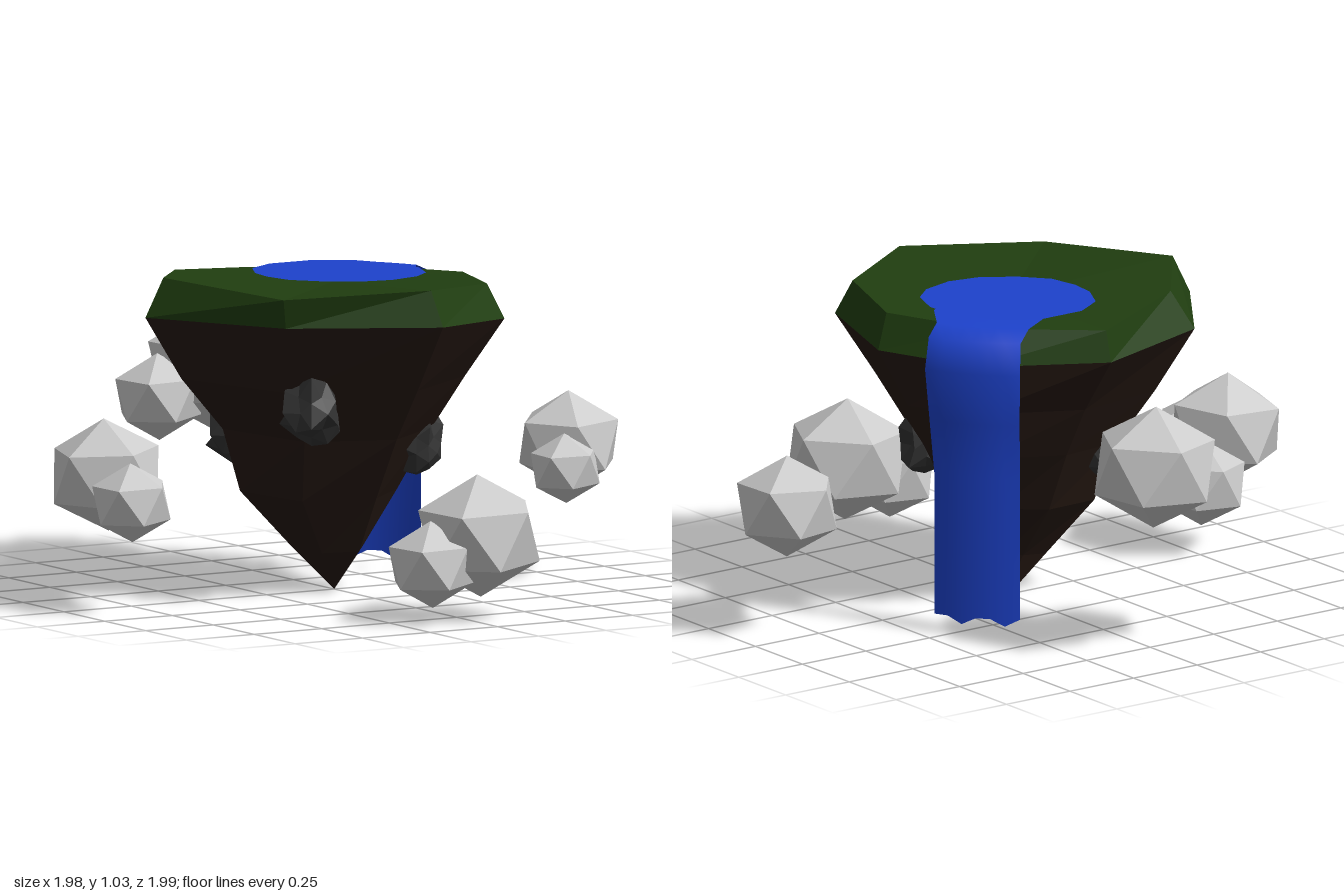
import * as THREE from 'three';

const mat = (color, extra = {}) =>
  new THREE.MeshStandardMaterial({ color, flatShading: true, ...extra });

function add(parent, name, geometry, material) {
  const mesh = new THREE.Mesh(geometry, material);
  mesh.name = name;
  parent.add(mesh);
  return mesh;
}

// Skin between closed rings of points, listed from top to bottom
function loft(rings) {
  const pos = [];
  for (let i = 0; i < rings.length - 1; i++) {
    const n = rings[i].length;
    for (let k = 0; k < n; k++) {
      const a = rings[i][k], b = rings[i][(k + 1) % n];
      const c = rings[i + 1][(k + 1) % n], d = rings[i + 1][k];
      if (a !== b) pos.push(...a, ...b, ...c);
      if (c !== d) pos.push(...a, ...c, ...d);
    }
  }
  const g = new THREE.BufferGeometry();
  g.setAttribute('position', new THREE.Float32BufferAttribute(pos, 3));
  g.computeVertexNormals();
  return g;
}

// Island rim and the edge of its top surface
const rim = [
  [-0.03, 0.875, -0.5], [0.33, 0.87, -0.28], [0.48, 0.875, 0.05], [0.37, 0.89, 0.43],
  [0.04, 0.905, 0.6], [-0.4, 0.905, 0.365], [-0.65, 0.905, -0.08], [-0.44, 0.89, -0.39],
];
const topEdge = [
  [-0.03, 0.975, -0.475], [0.29, 0.983, -0.25], [0.44, 0.99, 0.06], [0.33, 1.0, 0.39],
  [0.02, 1.02, 0.56], [-0.42, 1.0, 0.385], [-0.59, 1.03, -0.07], [-0.39, 1.01, -0.33],
];

// Rim outline squeezed to the given extents at height y; the corner under the fall bulges
const rockRing = (y, xMin, xMax, zMin, zMax, bulge = 1) => rim.map(([x, , z], k) => {
  const s = k === 1 ? bulge : 1;
  return [
    s * x * (x < 0 ? xMin / -0.65 : xMax / 0.48),
    y + 0.015 * Math.sin(k * 2.4),
    s * z * (z < 0 ? zMin / -0.5 : zMax / 0.6),
  ];
});

// Icosahedron with one corner pointing up
const upright = (r) =>
  new THREE.IcosahedronGeometry(r, 0).rotateX(-Math.atan((1 + Math.sqrt(5)) / 2));

// Rugged stone: a sphere-like solid whose corners move by a direction-based rule
function stoneGeometry(seed) {
  const g = new THREE.IcosahedronGeometry(1, 1);
  const p = g.attributes.position, v = new THREE.Vector3();
  for (let i = 0; i < p.count; i++) {
    v.fromBufferAttribute(p, i);
    const s = 0.85 + 0.22 * Math.sin(v.x * 5 + seed) * Math.cos(v.y * 6 - seed)
      + 0.15 * Math.sin(v.z * 7 + v.y * 3 + seed * 2);
    p.setXYZ(i, v.x * s, v.y * s, v.z * s);
  }
  g.computeVertexNormals();
  return g;
}

// Stream and waterfall: rows of [centre x, y, centre z, half width]
function fallGeometry() {
  const rows = [
    [0.15, 1.0, -0.13, 0.18], [0.21, 1.0, -0.175, 0.18], [0.29, 0.993, -0.25, 0.15],
    [0.357, 0.968, -0.298, 0.15], [0.382, 0.87, -0.32, 0.155],
    [0.368, 0.7, -0.312, 0.147], [0.353, 0.52, -0.306, 0.14], [0.353, 0.05, -0.306, 0.14],
  ];
  const cols = 6, pos = [], index = [];
  rows.forEach(([cx, y, cz, w], i) => {
    for (let k = 0; k <= cols; k++) {
      const s = (k / cols) * 2 - 1;
      const bulge = i > 1 ? 0.02 * (1 - s * s) : 0;
      const jag = i === rows.length - 1 ? (k % 3 === 1 ? -0.015 : 0.008) : 0;
      pos.push(cx + 0.63 * w * s + 0.78 * bulge, y + jag, cz + 0.78 * w * s - 0.63 * bulge);
      if (i && k) {
        const d = i * (cols + 1) + k, c = d - 1, b = d - cols - 1, a = b - 1;
        index.push(a, b, c, b, d, c);
      }
    }
  });
  const g = new THREE.BufferGeometry();
  g.setAttribute('position', new THREE.Float32BufferAttribute(pos, 3));
  g.setIndex(index);
  g.computeVertexNormals();
  return g;
}

export function createModel() {
  const model = new THREE.Group();
  model.name = 'floatingIsland';

  const grassMat = mat(0x203e10), rockMat = mat(0x251812), stoneMat = mat(0x333333);
  const cloudMat = mat(0xcccccc);
  const waterMat = mat(0x1d42cc, { side: THREE.DoubleSide, flatShading: false });

  // Grass cap, dipping slightly towards the middle
  const centre = [0, 0.985, 0];
  add(model, 'grassCap', loft([rim.map(() => centre), topEdge, rim]), grassMat);

  // Earth cone tapering to a tip
  const tip = [0, 0, 0];
  add(model, 'earthCone', loft([
    rim,
    rockRing(0.69, -0.53, 0.37, -0.37, 0.46, 1.18),
    rockRing(0.52, -0.385, 0.275, -0.28, 0.345, 1.25),
    rockRing(0.32, -0.33, 0.17, -0.19, 0.235, 1.1),
    rockRing(0.14, -0.16, 0.06, -0.06, 0.145),
    rim.map(() => tip),
  ]), rockMat);

  // Pond
  const pond = [
    [-0.2, -0.08], [-0.19, -0.17], [-0.14, -0.27], [-0.04, -0.33], [0.11, -0.33],
    [0.23, -0.26], [0.31, -0.12], [0.32, -0.01], [0.28, 0.1], [0.21, 0.16], [0.1, 0.19],
    [-0.01, 0.17], [-0.11, 0.1], [-0.18, 0.02],
  ];
  const pondShape = new THREE.Shape(pond.map(([x, z]) => new THREE.Vector2(x, -z)));
  const pondGeometry = new THREE.ShapeGeometry(pondShape).rotateX(-Math.PI / 2);
  add(model, 'pond', pondGeometry, waterMat).position.y = 1.004;

  add(model, 'waterfall', fallGeometry(), waterMat);

  // Stones set into the earth: position, then half sizes
  [
    [-0.265, 0.625, 0.3, 0.1, 0.13, 0.1],
    [0.175, 0.48, 0.215, 0.1, 0.115, 0.1],
    [-0.23, 0.495, -0.185, 0.12, 0.13, 0.11],
  ].forEach(([x, y, z, sx, sy, sz], i) => {
    const stone = add(model, 'embeddedStone' + (i + 1), stoneGeometry(i * 1.7 + 1), stoneMat);
    stone.position.set(x, y, z);
    stone.scale.set(sx, sy, sz);
  });

  // Clouds: a large and a small puff each, as [x, y, z, radius, spin]
  const clouds = {
    frontCloud: [[0.047, 0.265, 0.808, 0.197, 0.44], [-0.128, 0.185, 0.808, 0.14, 0.5]],
    backCloud: [[0.025, 0.612, -0.808, 0.197, 0.44], [-0.162, 0.53, -0.808, 0.14, 0.5]],
    leftCloud: [[0.832, 0.42, 0.06, 0.164, 0.9], [0.742, 0.355, 0.187, 0.112, 0.3]],
    rightCloud: [[-0.815, 0.42, -0.048, 0.18, 0], [-0.84, 0.355, 0.148, 0.127, 0.4]],
  };
  for (const [name, puffs] of Object.entries(clouds)) {
    const cloud = new THREE.Group();
    cloud.name = name;
    for (const [x, y, z, r, spin] of puffs) {
      const puff = add(cloud, 'puff', upright(r), cloudMat);
      puff.position.set(x, y, z);
      puff.rotation.set(0, spin, 0.05);
      puff.scale.set(1.08, 1, 1.08);
    }
    model.add(cloud);
  }

  return model;
}
